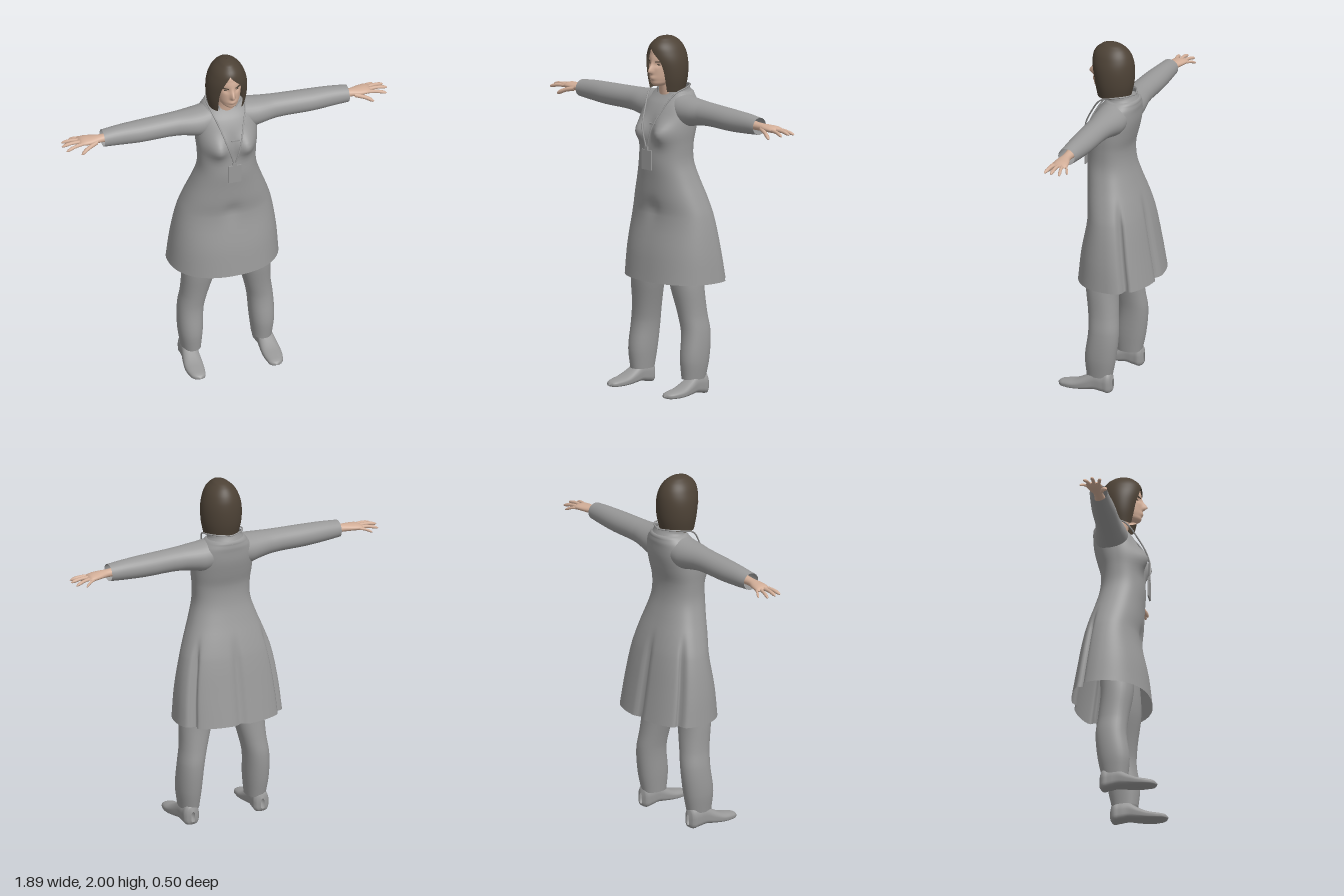
import * as THREE from 'three';

const mat = (name, color) => {
  const m = new THREE.MeshStandardMaterial({ color, side: THREE.DoubleSide });
  m.name = name;
  return m;
};
const bump = (d, w) => Math.exp(-((d / w) ** 2));
const spow = (v, p) => Math.sign(v) * Math.abs(v) ** p;

// Smooth surface through cross-sections; rows start with an ascending station.
// place(row, u) gives the point at fraction u around the section.
function loft(rows, place, { seg = 32, sub = 4, closed = true, flip = false } = {}) {
  const size = rows[0].length;
  const curve = new THREE.CubicInterpolant(rows.map(r => r[0]), rows.flat(), size, new Float32Array(size));
  const pos = [], index = [], cols = closed ? seg : seg + 1;
  const n = (rows.length - 1) * sub;
  for (let i = 0; i <= n; i++) {
    const k = Math.min(Math.floor(i / sub), rows.length - 2), f = i / sub - k;
    const row = f === 0 ? rows[k] : f === 1 ? rows[k + 1]
      : [...curve.evaluate(THREE.MathUtils.lerp(rows[k][0], rows[k + 1][0], f))];
    for (let j = 0; j < cols; j++) pos.push(...place(row, j / seg));
  }
  for (let i = 0; i < n; i++) for (let j = 0; j < seg; j++) {
    const a = i * cols + j, b = i * cols + (j + 1) % cols, c = b + cols, d = a + cols;
    if (flip) index.push(a, c, b, a, d, c);
    else index.push(a, b, c, a, c, d);
  }
  const g = new THREE.BufferGeometry();
  g.setAttribute('position', new THREE.Float32BufferAttribute(pos, 3));
  g.setIndex(index);
  g.computeVertexNormals();
  return g;
}

// Upright section: [y, half width, centre z, front depth, back depth]
const upright = ([y, rx, zc, zf, zb], a, p = 1) => {
  const c = spow(Math.cos(a), p);
  return [rx * spow(Math.sin(a), p), y, zc + c * (c > 0 ? zf : zb)];
};
// Sideways section: [x, centre y, centre z, half height, half depth]
const sideways = s => ([x, y, z, ry, rz], u) =>
  [s * x, y + ry * Math.cos(u * 2 * Math.PI), z + rz * Math.sin(u * 2 * Math.PI)];

export function createModel() {
  const model = new THREE.Group();
  const cloth = mat('grey cloth', 0x999999);
  const skin = mat('skin', 0xd2ae98);
  const hair = mat('brown hair', 0x4d4236);
  const add = (name, geo, m, parent = model) => {
    const mesh = new THREE.Mesh(geo, m);
    mesh.name = name;
    parent.add(mesh);
    return mesh;
  };

  // Coat with bust, flared skirt and three folds at the back
  add('coat', loft([
    [0.63, 0.315, -0.07, 0.26, 0.18], [0.8, 0.3, -0.055, 0.225, 0.165],
    [1.0, 0.265, -0.035, 0.168, 0.148], [1.1, 0.232, -0.02, 0.162, 0.135],
    [1.2, 0.195, 0, 0.148, 0.122], [1.3, 0.166, 0.015, 0.14, 0.11],
    [1.4, 0.166, 0.015, 0.132, 0.105], [1.48, 0.173, 0.01, 0.13, 0.12],
    [1.56, 0.172, 0, 0.122, 0.128], [1.62, 0.16, -0.01, 0.102, 0.122],
    [1.66, 0.13, -0.02, 0.08, 0.112], [1.69, 0.09, -0.02, 0.062, 0.09],
    [1.7, 0.05, 0, 0.04, 0.05],
  ], (row, u) => {
    const a = u * 2 * Math.PI;
    const [x, y, z] = upright(row, a, 0.88);
    const back = Math.abs(a - Math.PI);
    const drop = THREE.MathUtils.smoothstep(1.15 - y, 0, 0.2);
    const fold = 1 - drop * (0.13 * bump(back - 1.02, 0.09) + 0.12 * bump(back, 0.06));
    const bust = Math.cos(a) > 0 ? 0.05 * bump(Math.abs(x) - 0.085, 0.055) * bump(y - 1.47, 0.06) : 0;
    const lap = Math.cos(a) > 0 ? 0.012 * bump(x, 0.05) * bump(y - 1.03, 0.05) : 0;
    return [x * fold, y, row[2] + (z - row[2]) * fold + bust - lap];
  }, { seg: 120 }), cloth);

  // Standing collar, higher at the back
  add('collar', loft([
    [1.655, 0.125, -0.02, 0.085, 0.112], [1.69, 0.1, -0.025, 0.08, 0.09], [1.705, 0.098, -0.025, 0.075, 0.085],
  ], (row, u) => {
    const a = 0.45 + u * (2 * Math.PI - 0.9);
    const [x, y, z] = upright(row, a);
    return [x, y - 0.012 * Math.cos(a), z];
  }, { seg: 48, closed: false }), cloth);

  // Head with nose, lips, chin and eye sockets
  add('head', loft([
    [1.722, 0.015, 0.075, 0.03, 0.03], [1.735, 0.04, 0.065, 0.062, 0.05],
    [1.76, 0.058, 0.05, 0.084, 0.07], [1.8, 0.069, 0.04, 0.097, 0.08],
    [1.85, 0.075, 0.035, 0.1, 0.09], [1.9, 0.072, 0.03, 0.1, 0.085],
    [1.94, 0.052, 0.03, 0.075, 0.065], [1.96, 0.005, 0.03, 0.005, 0.005],
  ], (row, u) => {
    const a = u * 2 * Math.PI;
    let [x, y, z] = upright(row, a);
    if (Math.cos(a) > 0) {
      z += 0.03 * bump(x, 0.011) * bump(y - 1.81, y > 1.81 ? 0.035 : 0.012);
      z += 0.008 * bump(x, 0.022) * bump(y - 1.773, 0.011);
      z -= 0.01 * bump(Math.abs(x) - 0.032, 0.016) * bump(y - 1.85, 0.012);
    }
    return [x, y, z];
  }, { seg: 96, sub: 6 }), skin);
  add('neck', loft([
    [1.66, 0.065, 0, 0.055, 0.06], [1.7, 0.05, 0.015, 0.045, 0.055], [1.78, 0.047, 0.03, 0.045, 0.06],
  ], (row, u) => upright(row, u * 2 * Math.PI)), skin);

  // Bobbed hair, open over the face and parted on the top
  add('hair', loft([
    [1.695, 0.1, 0.02, 0.088, 0.1, 0.74], [1.76, 0.113, 0.02, 0.1, 0.115, 0.66],
    [1.82, 0.116, 0.02, 0.11, 0.12, 0.6], [1.87, 0.111, 0.02, 0.118, 0.118, 0.5],
    [1.91, 0.099, 0.02, 0.118, 0.11, 0.34], [1.95, 0.079, 0.022, 0.105, 0.092, 0.1],
    [1.98, 0.05, 0.025, 0.072, 0.064, 0], [1.995, 0.025, 0.03, 0.036, 0.034, 0],
    [2.0, 0.001, 0.03, 0.001, 0.001, 0],
  ], (row, u) => {
    const open = Math.max(row[5], 0);
    const part = -0.28 * THREE.MathUtils.smoothstep(row[0], 1.86, 1.95) * (1 - u) * (1 - u);
    return upright(row, open + part + u * (2 * Math.PI - 2 * open - part) + (u === 1 ? part : 0));
  }, { seg: 64, closed: false }), hair);

  for (const s of [1, -1]) {
    const side = s > 0 ? 'left' : 'right';
    const opts = { flip: s < 0 };

    // Brow and eye
    const brow = add(side + 'Brow', new THREE.BoxGeometry(0.034, 0.005, 0.008), hair);
    brow.position.set(s * 0.034, 1.866, 0.122);
    brow.rotation.set(0, s * 0.42, s * 0.12);
    const eye = add(side + 'Eye', new THREE.SphereGeometry(1, 16, 10), hair);
    eye.scale.set(0.011, 0.004, 0.004);
    eye.position.set(s * 0.033, 1.849, 0.115);
    eye.rotation.y = s * 0.4;

    // Sleeve, open at the cuff
    add(side + 'Sleeve', loft([
      [0.06, 1.6, -0.02, 0.085, 0.09], [0.14, 1.585, -0.015, 0.085, 0.092],
      [0.2, 1.588, -0.012, 0.076, 0.085], [0.28, 1.592, -0.012, 0.067, 0.072],
      [0.5, 1.588, -0.01, 0.062, 0.065], [0.62, 1.588, -0.01, 0.056, 0.056],
      [0.71, 1.587, -0.008, 0.048, 0.05],
    ], sideways(s), opts), cloth);

    // Hand: wrist and palm, four fingers and a thumb
    const hand = new THREE.Group();
    hand.name = side + 'Hand';
    model.add(hand);
    add('palm', loft([
      [0.64, 1.588, -0.01, 0.026, 0.03], [0.72, 1.586, -0.01, 0.022, 0.026],
      [0.78, 1.586, -0.015, 0.02, 0.04], [0.83, 1.584, -0.022, 0.016, 0.042],
      [0.85, 1.582, -0.025, 0.004, 0.034],
    ], sideways(s), opts), skin, hand);
    for (const [name, x0, y0, z0, x1, y1, z1, r] of [
      ['indexFinger', 0.82, 1.583, 0.008, 0.93, 1.567, 0.03, 0.01],
      ['middleFinger', 0.83, 1.584, -0.014, 0.945, 1.572, -0.015, 0.01],
      ['ringFinger', 0.825, 1.583, -0.035, 0.935, 1.566, -0.06, 0.0095],
      ['littleFinger', 0.81, 1.582, -0.05, 0.885, 1.56, -0.088, 0.008],
      ['thumb', 0.745, 1.58, 0.012, 0.85, 1.543, 0.052, 0.013],
    ]) {
      const rows = [[0, 1], [0.5, 0.95], [0.9, 0.75], [1, 0.05]].map(([t, w]) => [
        x0 + (x1 - x0) * t, y0 + (y1 - y0) * t + 0.006 * Math.sin(Math.PI * t), z0 + (z1 - z0) * t, r * w, r * w]);
      add(name, loft(rows, sideways(s), { seg: 12, flip: s < 0 }), skin, hand);
    }

    // Trouser leg: [y, half width, centre z, front, back, centre x]
    add(side + 'TrouserLeg', loft([
      [0.09, 0.055, 0.012, 0.075, 0.072, 0.205], [0.2, 0.068, 0.008, 0.088, 0.09, 0.207],
      [0.35, 0.072, -0.005, 0.083, 0.09, 0.2], [0.45, 0.076, 0, 0.085, 0.085, 0.182],
      [0.63, 0.097, 0.015, 0.095, 0.088, 0.153], [0.85, 0.1, 0, 0.1, 0.1, 0.12],
      [1.0, 0.1, -0.02, 0.1, 0.1, 0.105],
    ], (row, u) => {
      const [x, y, z] = upright(row, u * 2 * Math.PI, 0.92);
      return [s * (x + row[5]), y, z];
    }, opts), cloth);

    // Shoe: [z, centre x, half width, sole y, top y]
    add(side + 'Shoe', loft([
      [-0.07, 0.215, 0.012, 0.02, 0.08], [-0.06, 0.215, 0.036, 0.004, 0.11],
      [-0.02, 0.216, 0.045, 0.004, 0.12], [0.03, 0.219, 0.045, 0.012, 0.118],
      [0.08, 0.222, 0.05, 0.008, 0.088], [0.14, 0.225, 0.053, 0.004, 0.058],
      [0.2, 0.225, 0.046, 0.004, 0.045], [0.24, 0.222, 0.028, 0.008, 0.034],
      [0.253, 0.221, 0.003, 0.016, 0.022],
    ], ([z, x, w, low, top], u) => {
      const a = u * 2 * Math.PI, c = Math.cos(a);
      const h = c > 0 ? c : spow(c, 0.45);
      return [s * (x - w * spow(Math.sin(a), 0.75)), (low + top) / 2 + h * (top - low) / 2, z];
    }, opts), cloth);

    // Lanyard strap
    const strap = new THREE.CatmullRomCurve3([
      [0, 1.712, -0.115], [0.075, 1.718, -0.085], [0.108, 1.71, -0.02], [0.1, 1.685, 0.055],
      [0.068, 1.6, 0.122], [0.034, 1.49, 0.176], [0.003, 1.385, 0.178],
    ].map(([x, y, z]) => new THREE.Vector3(s * x, y, z)));
    add(side + 'Strap', new THREE.TubeGeometry(strap, 48, 0.0045, 6), cloth);
  }

  // Badge with clip, and a small chest tab
  add('badge', new THREE.BoxGeometry(0.074, 0.112, 0.008), cloth).position.set(0, 1.316, 0.176);
  add('badgeClip', new THREE.BoxGeometry(0.022, 0.024, 0.01), cloth).position.set(0, 1.38, 0.178);
  add('chestTab', new THREE.BoxGeometry(0.05, 0.008, 0.01), cloth).position.set(0.015, 1.515, 0.142);
  return model;
}
